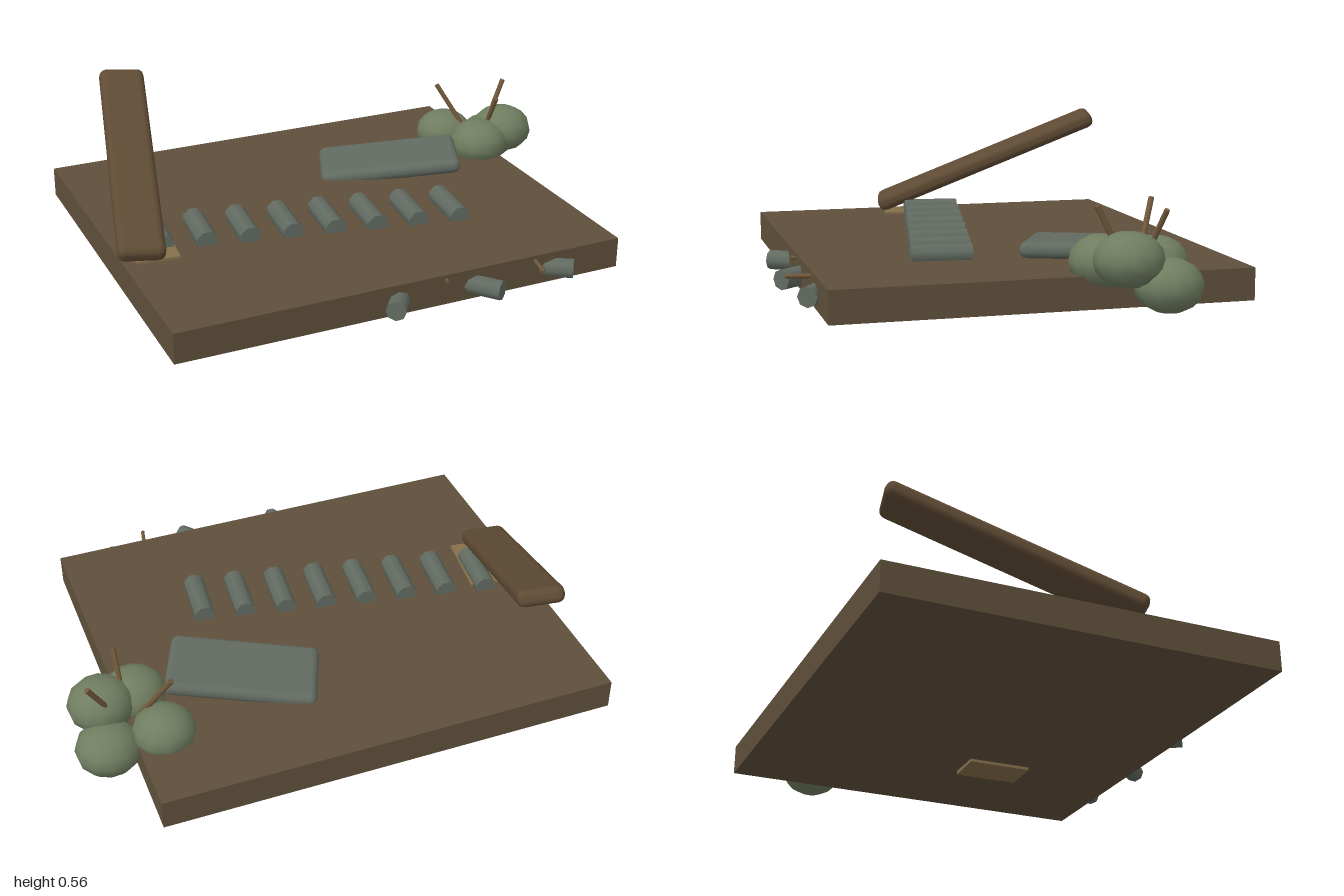
import * as THREE from 'three';
import { RoundedBoxGeometry } from 'three/addons/geometries/RoundedBoxGeometry.js';

const mat = (name, color) => {
  const m = new THREE.MeshStandardMaterial({ color });
  m.name = name;
  return m;
};

export function createModel() {
  const group = new THREE.Group();
  group.name = 'campGround';
  const earth = mat('earth brown', 0x5f503b);
  const bark = mat('bark brown', 0x5f4b34);
  const stone = mat('stone grey', 0x626b62);
  const leaf = mat('leaf green', 0x707d60);
  const tan = mat('dry tan', 0x86704a);
  const twigMat = mat('twig brown', 0x735a3c);

  const add = (name, geo, m, pos, rot = [0, 0, 0]) => {
    const mesh = new THREE.Mesh(geo, m);
    mesh.name = name;
    mesh.position.set(...pos);
    mesh.rotation.set(...rot, 'YXZ');
    group.add(mesh);
    return mesh;
  };

  // thin stick between two points
  const stick = (name, a, b, r) => {
    const p = new THREE.Vector3(...a), q = new THREE.Vector3(...b);
    const d = q.clone().sub(p);
    const mesh = add(name, new THREE.CylinderGeometry(r, r, d.length(), 6), twigMat,
      p.clone().add(q).multiplyScalar(0.5).toArray());
    mesh.quaternion.setFromUnitVectors(new THREE.Vector3(0, 1, 0), d.normalize());
  };

  // ground slab
  add('groundSlab', new THREE.BoxGeometry(1.724, 0.115, 1.479), earth, [0, 0.0725, 0], [0, 0.199, 0]);

  // leaning log
  add('leaningLog', new RoundedBoxGeometry(0.175, 0.066, 0.98, 2, 0.028), bark,
    [-0.72, 0.348, -0.062], [0.39, -0.04, -0.07]);

  // row of half buried stones
  const stoneGeo = new THREE.CylinderGeometry(0.041, 0.041, 0.22, 8);
  stoneGeo.rotateY(Math.PI / 8).rotateX(Math.PI / 2);
  for (let i = 0; i < 8; i++) {
    add('steppingStone', stoneGeo, stone, [-0.66 + i * 0.16, 0.145, 0.173], [0, 0.1, 0]);
  }

  // stones sticking out of the front edge: tip x, tip z, heading
  const edgeGeo = new THREE.CylinderGeometry(0.037, 0.037, 0.22, 8).rotateX(Math.PI / 2);
  for (const [x, z, a] of [[0.08, 0.8, -0.4], [0.485, 0.735, 0.88], [0.79, 0.63, 1.2]]) {
    add('edgeStone', edgeGeo, stone,
      [x - 0.11 * Math.sin(a), 0.066, z - 0.11 * Math.cos(a)], [0, a, 0]);
  }

  // small roots at the front edge
  for (const x of [0.29, 0.645]) stick('edgeRoot', [x, 0.11, 0.5], [x, 0.11, 0.71], 0.008);

  // tilted flat rock
  add('flatRock', new RoundedBoxGeometry(0.56, 0.06, 0.3, 2, 0.028), stone,
    [0.345, 0.153, -0.29], [0, -0.19, 0.1]);

  // tan mats, one on top beside the log and one showing below
  add('topMat', new THREE.BoxGeometry(0.16, 0.02, 0.27), tan, [-0.69, 0.129, 0.235], [0, 0.08, 0]);
  add('underMat', new THREE.BoxGeometry(0.15, 0.024, 0.25), tan, [0.435, 0.014, 0.12], [0, 0.19, -0.02]);

  // bush
  const bushes = [
    [0.66, 0.15, -0.555, 0.116], [0.86, 0.105, -0.565, 0.12],
    [0.873, 0.195, -0.428, 0.122], [0.75, 0.17, -0.36, 0.119],
  ];
  for (const [x, y, z, r] of bushes) {
    add('bushClump', new THREE.SphereGeometry(r, 12, 8), leaf, [x, y, z]).scale.y = 0.78;
  }
  for (const [x, z] of [[0.62, -0.545], [0.912, -0.545], [0.81, -0.33]]) {
    stick('bushTwig', [0.78, 0.1, -0.46], [x, 0.365, z], 0.01);
  }

  return group;
}
